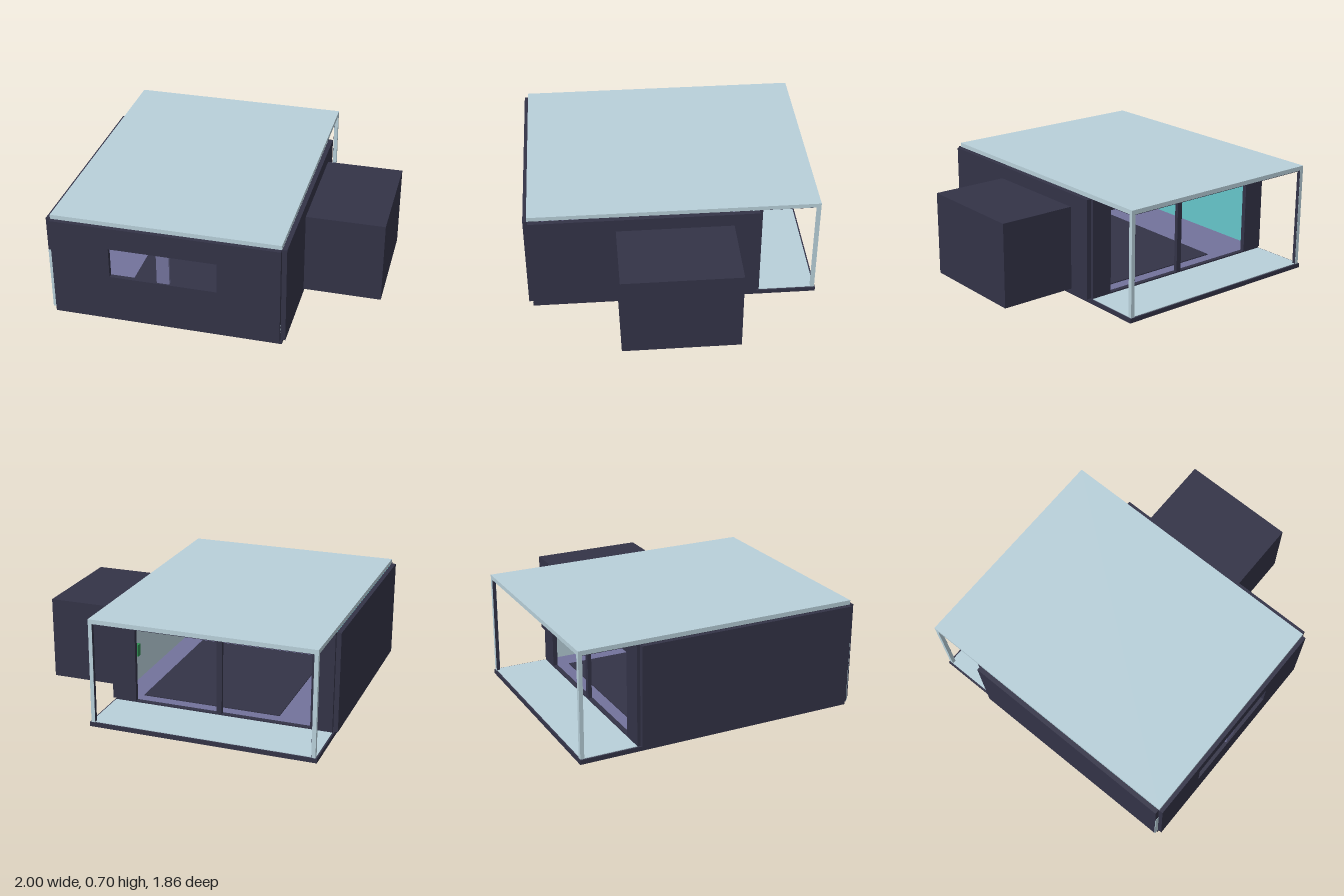
import * as THREE from 'three';

const material = (color) => new THREE.MeshStandardMaterial({ color, flatShading: true });
const dark = material(0x333347);
const light = material(0xb8d0da);
const purple = material(0x73739c);
const teal = material(0x66c6ca);
const green = material(0x2f8a50);

export function createModel() {
  const house = new THREE.Group();
  house.name = 'house';

  // Box given by its extents along each axis
  function box(name, mat, [x0, x1], [y0, y1], [z0, z1]) {
    const mesh = new THREE.Mesh(new THREE.BoxGeometry(x1 - x0, y1 - y0, z1 - z0), mat);
    mesh.position.set((x0 + x1) / 2, (y0 + y1) / 2, (z0 + z1) / 2);
    mesh.name = name;
    house.add(mesh);
    return mesh;
  }

  // Upright wall facing z with one rectangular opening
  function wallWithOpening(name, [x0, x1], [y0, y1], [z0, z1], [hx0, hx1], [hy0, hy1]) {
    const rect = (Path, a, b, c, d) =>
      new Path([[a, c], [b, c], [b, d], [a, d]].map((p) => new THREE.Vector2(...p)));
    const shape = rect(THREE.Shape, x0, x1, y0, y1);
    shape.holes.push(rect(THREE.Path, hx0, hx1, hy0, hy1));
    const geometry = new THREE.ExtrudeGeometry(shape, { depth: z1 - z0, bevelEnabled: false });
    const mesh = new THREE.Mesh(geometry, dark);
    mesh.position.z = z0;
    mesh.name = name;
    house.add(mesh);
  }

  const width = [-0.97, 0.47];
  const wallHeight = [0.03, 0.675];

  // Base slab, terrace deck and room floor
  box('baseSlab', dark, [-0.98, 0.48], [0, 0.028], [-0.93, 0.905]);
  box('terraceDeck', light, width, [0.026, 0.032], [-0.92, -0.56]);
  box('roomFloor', purple, width, [0.026, 0.034], [-0.53, 0.9]);
  box('rug', dark, [-0.6, 0.32], [0.032, 0.04], [-0.45, 0.6]);

  // Side walls with coloured inner linings
  box('rightWall', dark, [-1, -0.97], wallHeight, [-0.54, 0.9]);
  box('leftWall', dark, [0.47, 0.5], wallHeight, [-0.54, 0.9]);
  box('rightWallLining', teal, [-0.971, -0.965], [0.034, 0.67], [-0.53, 0.9]);
  box('leftWallLining', light, [0.465, 0.471], [0.034, 0.67], [-0.53, 0.9]);
  box('rightWallEndPanel', light, [-1, -0.97], [0.03, 0.45], [0.898, 0.902]);
  box('wallOrnament', green, [0.44, 0.465], [0.22, 0.3], [-0.27, -0.23]);

  // Front wall with its window and centre post
  wallWithOpening('frontWall', width, wallHeight, [0.9, 0.93], [-0.6, 0.08], [0.33, 0.53]);
  box('windowPost', purple, [-0.3, -0.22], [0.33, 0.53], [0.9, 0.92]);

  // Rear wall opening onto the terrace
  wallWithOpening('rearWall', width, wallHeight, [-0.56, -0.53], [-0.83, 0.33], [0.04, 0.58]);
  box('rearMullion', dark, [-0.255, -0.22], [0.04, 0.58], [-0.56, -0.535]);

  // Roof and its dark ceiling
  box('roof', light, width, [0.677, 0.705], [-0.925, 0.905]);
  box('ceiling', dark, [-0.965, 0.465], [0.672, 0.678], [-0.92, 0.9]);

  // Terrace posts: light outside, dark inside
  for (const side of [-1, 1]) {
    const outer = side * 0.72 - 0.25;
    const inner = outer - side * 0.025;
    const span = [Math.min(outer, inner), Math.max(outer, inner)];
    box('terracePost', light, span, [0.028, 0.677], [-0.925, -0.9]);
    box('postInnerFace', dark, [inner - 0.001, inner + 0.001], [0.03, 0.675], [-0.924, -0.901]);
  }

  // Side room projecting from the left wall
  box('sideRoom', dark, [0.5, 1], [0.05, 0.59], [-0.38, 0.36]);

  return house;
}
